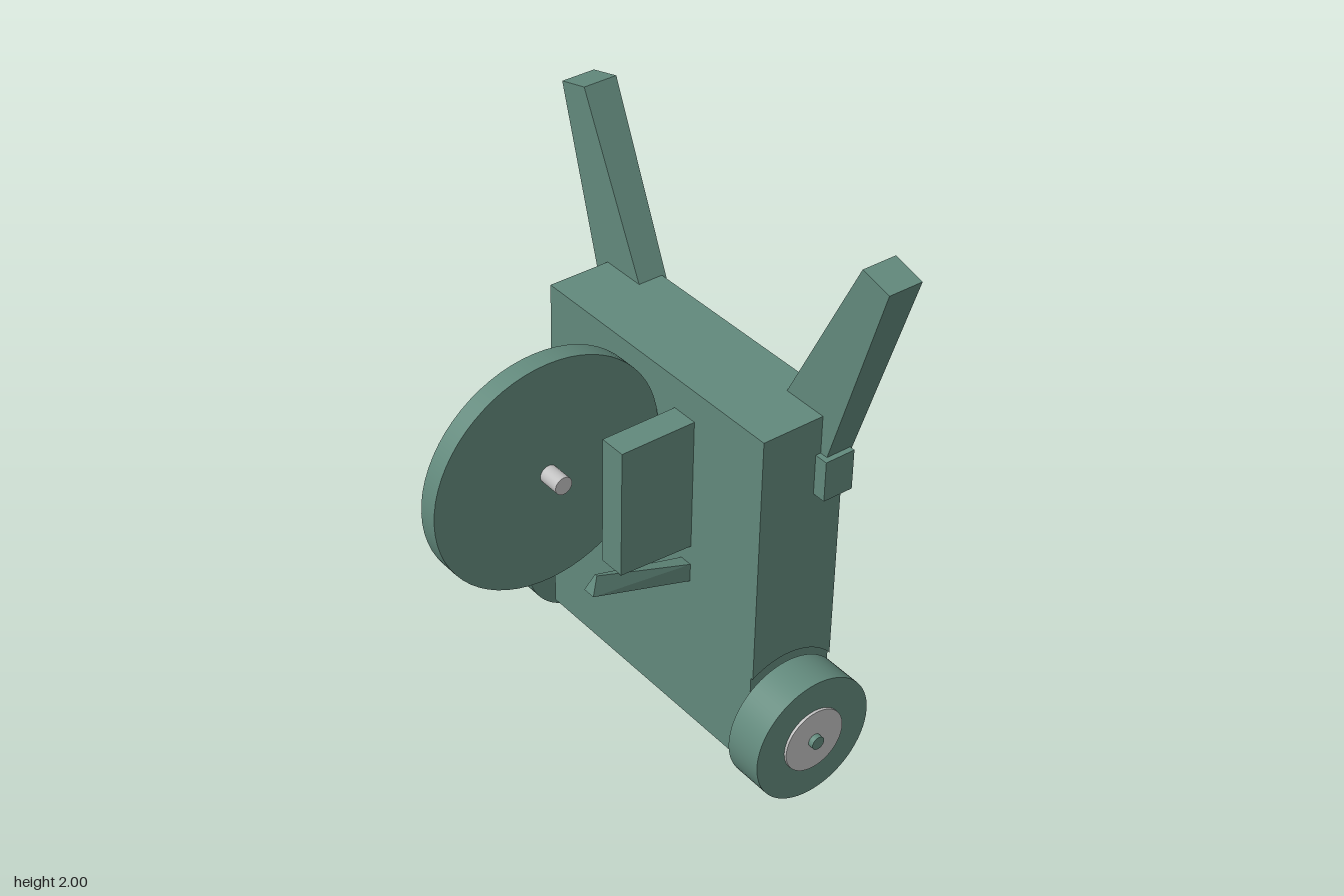
import * as THREE from 'three';

const green = new THREE.MeshStandardMaterial({ name: 'green', color: 0x62897c });
const grey = new THREE.MeshStandardMaterial({ name: 'light grey', color: 0xc0c0c0 });

export function createModel() {
  const model = new THREE.Group();

  const add = (name, geometry, material = green) => {
    const mesh = new THREE.Mesh(geometry, material);
    mesh.name = name;
    model.add(mesh);
    return mesh;
  };
  // Box from its lower and upper limits on each axis
  const box = (x0, x1, y0, y1, z0, z1) =>
    new THREE.BoxGeometry(x1 - x0, y1 - y0, z1 - z0)
      .translate((x0 + x1) / 2, (y0 + y1) / 2, (z0 + z1) / 2);
  // Cylinder lying along x
  const rod = (r, x0, x1, y, z, sides = 48) =>
    new THREE.CylinderGeometry(r, r, x1 - x0, sides)
      .rotateZ(Math.PI / 2).translate((x0 + x1) / 2, y, z);
  // Outline of [z, y] points extruded along x
  const extrudeX = (points, x0, x1) => {
    const shape = new THREE.Shape(points.map(([z, y]) => new THREE.Vector2(-z, y)));
    return new THREE.ExtrudeGeometry(shape, { depth: x1 - x0, bevelEnabled: false })
      .rotateY(Math.PI / 2).translate(x0, 0, 0);
  };
  const rect = (P, x0, x1, y0, y1) => new P([
    new THREE.Vector2(x0, y0), new THREE.Vector2(x1, y0),
    new THREE.Vector2(x1, y1), new THREE.Vector2(x0, y1)]);

  // Body core, with a back panel that carries a small slot
  const inner = 0.54;
  add('bodyCore', box(-inner, inner, 0.07, 1.4, -0.54, -0.25));
  const panel = rect(THREE.Shape, -inner, inner, 0.07, 1.4);
  panel.holes.push(rect(THREE.Path, -0.055, 0.055, 0.56, 0.61));
  add('backPanel', new THREE.ExtrudeGeometry(panel, { depth: 0.04, bevelEnabled: false })
    .translate(0, 0, -0.58));

  // Side panels end in a shallow arch over each wheel
  const wheelY = 0.235, wheelZ = -0.385, archR = 0.255;
  const sideOutline = [[-0.58, 1.4], [-0.25, 1.4]];
  const a0 = Math.acos(0.135 / archR), a1 = Math.acos(-0.195 / archR);
  for (let i = 0; i <= 16; i++) {
    const a = a0 + (a1 - a0) * i / 16;
    sideOutline.push([wheelZ + archR * Math.cos(a), wheelY + archR * Math.sin(a)]);
  }

  for (const s of [1, -1]) {
    const side = s > 0 ? 'left' : 'right';
    const span = (a, b) => (s > 0 ? [a, b] : [-b, -a]);

    add(side + 'SidePanel', extrudeX(sideOutline, ...span(inner, 0.55)));
    add(side + 'ArmBlock', box(...span(0.55, 0.6), 1.11, 1.26, -0.58, -0.465));

    // Raised arm, its back leaning outward toward the top
    const outline = [[0.3, 1.245], [0.575, 1.245], [0.8, 1.97], [0.68, 2]];
    const arm = new THREE.ExtrudeGeometry(
      new THREE.Shape(outline.map(([x, y]) => new THREE.Vector2(s * x, y))),
      { depth: 1, bevelEnabled: false });
    const p = arm.attributes.position;
    for (let i = 0; i < p.count; i++) {
      const t = (p.getY(i) - 1.245) / 0.755;
      p.setZ(i, p.getZ(i) > 0.5 ? -0.485 : -0.59 - 0.025 * t);
    }
    arm.computeVertexNormals();
    add(side + 'Arm', arm);

    // Wheel, hub and axle
    add(side + 'Wheel', rod(0.235, ...span(0.56, 0.705), wheelY, wheelZ, 64));
    add(side + 'Hub', rod(0.12, ...span(0.545, 0.715), wheelY, wheelZ));
    model.children.at(-1).material = grey;
    add(side + 'Axle', rod(0.025, ...span(0.53, 0.735), wheelY, wheelZ, 24));

    // Front block beside the disc
    add(side + 'DiscBlock', extrudeX(
      [[-0.25, 0.79], [0.035, 0.805], [0.035, 1.285], [-0.25, 1.285]], ...span(0.115, 0.215)));

    // Slanted strut under the block
    const strut = extrudeX(
      [[-0.25, 0.645], [0.145, 0.77], [0.12, 0.835], [-0.25, 0.715]], ...span(0.167, 0.215));
    if (s > 0) {
      // This strut narrows to a point at its upper front end
      const q = strut.attributes.position;
      for (let i = 0; i < q.count; i++) {
        if (q.getY(i) > 0.8) q.setX(i, q.getX(i) > 0.19 ? 0.2 : 0.19);
      }
      strut.computeVertexNormals();
    }
    add(side + 'Strut', strut);
  }

  // Large front disc on its pin
  const disc = add('disc', rod(0.418, -0.035, 0.035, 0, 0, 64));
  disc.scale.z = 1.035;
  disc.position.set(0, 1.168, 0.185);
  add('discPin', rod(0.032, -0.115, 0.115, 1.17, 0.185, 32), grey);

  return model;
}
